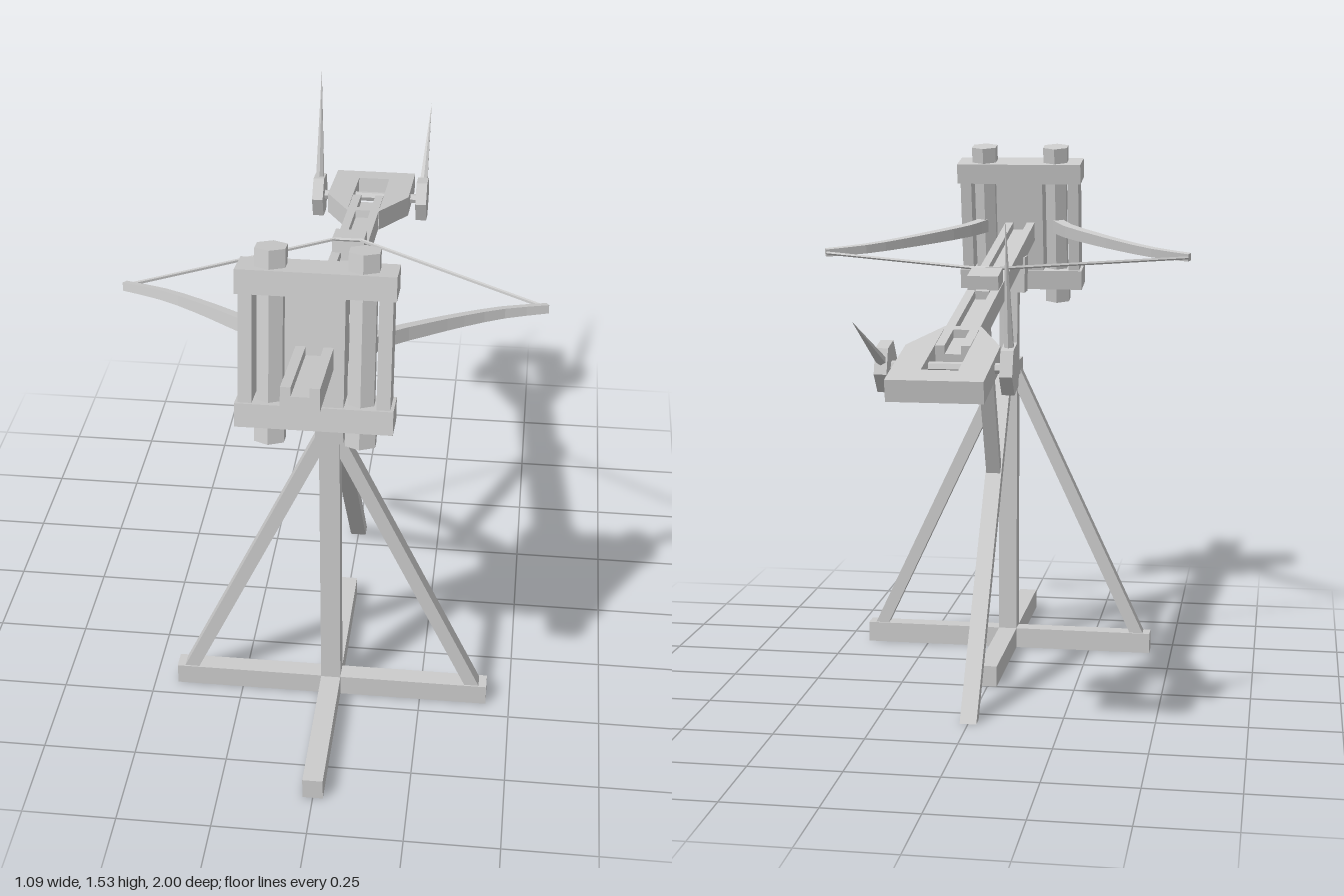
import * as THREE from 'three';

const mat = new THREE.MeshStandardMaterial({ color: 0xcccccc, flatShading: true });
const V = (x, y, z) => new THREE.Vector3(x, y, z);

function add(parent, name, geo, x = 0, y = 0, z = 0) {
  const mesh = new THREE.Mesh(geo, mat);
  mesh.name = name;
  mesh.position.set(x, y, z);
  parent.add(mesh);
  return mesh;
}

// box given by its extents
function block(parent, name, x0, x1, y0, y1, z0, z1) {
  return add(parent, name, new THREE.BoxGeometry(x1 - x0, y1 - y0, z1 - z0),
    (x0 + x1) / 2, (y0 + y1) / 2, (z0 + z1) / 2);
}

// straight part whose long axis runs from a to b
function span(parent, name, a, b, makeGeo) {
  const d = b.clone().sub(a);
  const mesh = add(parent, name, makeGeo(d.length()));
  mesh.position.copy(a).lerp(b, 0.5);
  mesh.quaternion.setFromUnitVectors(V(0, 1, 0), d.normalize());
  return mesh;
}

const polygon = (pts) => new THREE.Shape(pts.map(([x, y]) => new THREE.Vector2(x, y)));
const hole = (pts) => new THREE.Path(pts.map(([x, y]) => new THREE.Vector2(x, y)));
const extrude = (shape, depth) => new THREE.ExtrudeGeometry(shape, { depth, bevelEnabled: false });

// box bent along a curve, tapering towards its end
function bentLimb(curve, width, height, endScale) {
  const geo = new THREE.BoxGeometry(1, 1, 1, 1, 1, 10);
  const pos = geo.attributes.position;
  for (let i = 0; i < pos.count; i++) {
    const t = pos.getZ(i) + 0.5;
    const k = 1 + (endScale - 1) * t;
    const side = V(0, 1, 0).cross(curve.getTangent(t)).normalize();
    const p = curve.getPoint(t).addScaledVector(side, pos.getX(i) * width * k);
    pos.setXYZ(i, p.x, p.y + pos.getY(i) * height * k, p.z);
  }
  geo.computeVertexNormals();
  return geo;
}

function buildStand() {
  const stand = new THREE.Group();
  stand.name = 'stand';
  block(stand, 'crossBeam', -0.435, 0.435, 0, 0.06, 0.402, 0.452);
  block(stand, 'longBeam', -0.027, 0.027, 0, 0.06, 0, 0.87);
  block(stand, 'post', -0.027, 0.027, 0.01, 1.15, 0.402, 0.454);
  block(stand, 'collar', -0.036, 0.036, 0.85, 0.895, 0.335, 0.461);
  block(stand, 'head', -0.05, 0.05, 1.095, 1.2, 0.395, 0.461);
  for (const s of [-1, 1])
    span(stand, 'sideStrut', V(s * 0.403, 0.04, 0.428), V(s * 0.015, 0.865, 0.428),
      (l) => new THREE.BoxGeometry(0.036, l, 0.04));

  // rear leg cut level with the ground
  const leg = extrude(polygon([[0.34, 0], [0.3, 0], [-0.335, 0.85], [-0.37, 0.895], [-0.335, 0.905]].reverse()), 0.046);
  leg.rotateY(Math.PI / 2);
  add(stand, 'rearLeg', leg, -0.023);
  span(stand, 'brace', V(0, 0.61, 0.12), V(0, 1.11, -0.11), (l) => new THREE.BoxGeometry(0.04, l, 0.03));
  return stand;
}

function buildFrame() {
  const frame = new THREE.Group();
  frame.name = 'springFrame';
  const plate = polygon([[-0.182, -0.17], [0.182, -0.17], [0.182, 0.17], [-0.182, 0.17]]);
  for (const s of [-1, 1]) {
    const a = s * 0.11 - 0.039, b = s * 0.11 + 0.039;
    plate.holes.push(hole([[a, -0.14], [a, 0.14], [b, 0.14], [b, -0.14]]));
  }
  add(frame, 'slottedPlate', extrude(plate, 0.084), 0, 0, -0.042);
  for (const s of [-1, 1]) {
    add(frame, 'rail', new THREE.BoxGeometry(0.38, 0.06, 0.1), 0, s * 0.167, 0);
    // hexagonal spring column, capped above and below
    add(frame, 'springColumn', new THREE.CylinderGeometry(0.036, 0.036, 0.4, 6), s * 0.11, 0, 0);
    for (const t of [-1, 1])
      add(frame, 'cap', new THREE.CylinderGeometry(0.042, 0.042, 0.06, 6), s * 0.11, t * 0.213, 0);
  }
  frame.position.set(0, 0.014, 0.705);
  return frame;
}

function buildBow() {
  const bow = new THREE.Group();
  bow.name = 'bow';
  for (const s of [-1, 1]) {
    const curve = new THREE.CatmullRomCurve3(
      [[0.11, 0.69], [0.155, 0.62], [0.25, 0.53], [0.33, 0.462], [0.43, 0.39], [0.54, 0.34]]
        .map(([x, z]) => V(s * x, 0.014, z)));
    add(bow, 'bowArm', bentLimb(curve, 0.032, 0.04, 0.55));
    span(bow, 'bowString', V(s * 0.535, 0.014, 0.335), V(s * 0.035, 0.066, 0.014),
      (l) => new THREE.CylinderGeometry(0.005, 0.005, l, 5));
  }
  span(bow, 'bowString', V(-0.037, 0.066, 0.014), V(0.037, 0.066, 0.014),
    (l) => new THREE.CylinderGeometry(0.005, 0.005, l, 5));
  return bow;
}

function buildWinch() {
  const winch = new THREE.Group();
  winch.name = 'winch';
  const across = (r, l, n) => new THREE.CylinderGeometry(r, r, l, n).rotateZ(Math.PI / 2);
  add(winch, 'axle', across(0.014, 0.31, 6));
  for (const s of [-1, 1]) {
    add(winch, 'hexWheel', across(0.066, 0.032, 6), s * 0.155);
    // one handle stands up, the other leans back
    const tip = s < 0 ? V(-0.155, 0.38, -0.003) : V(0.155, 0.218, -0.328);
    const root = V(s * 0.155, 0, 0).lerp(tip, 0.11);
    span(winch, 'handleSpike', root, tip, (l) => new THREE.ConeGeometry(0.014, l, 6));
  }
  winch.position.set(0, 0, -0.648);
  return winch;
}

export function createModel() {
  const model = new THREE.Group();
  model.name = 'boltThrower';
  model.add(buildStand());

  // everything above the stand shares the tilt of the stock
  const upper = new THREE.Group();
  upper.name = 'tiltedUpperPart';
  upper.position.y = 1.136;
  upper.rotation.x = -0.1856;
  model.add(upper);

  // grooved stock
  const w = 0.045, h = 0.028, g = 0.021;
  const section = polygon([[-w, -h], [w, -h], [w, h], [g, h], [g, h - 0.022], [-g, h - 0.022], [-g, h], [-w, h]]);
  add(upper, 'groovedStock', extrude(section, 1.575), 0, 0, -0.563);

  // flared butt with an open window
  const butt = polygon([[-0.047, 0.4], [-0.12, 0.56], [-0.12, 0.83], [0.12, 0.83], [0.12, 0.56], [0.047, 0.4]].reverse());
  butt.holes.push(hole([[-0.046, 0.43], [0.046, 0.43], [0.046, 0.75], [-0.046, 0.75]]));
  add(upper, 'flaredButt', extrude(butt, 0.056).rotateX(-Math.PI / 2), 0, -0.028, 0);

  // sliding latch with a narrow tongue in the groove
  block(upper, 'latch', -0.043, 0.043, 0.026, 0.068, -0.075, 0.012);
  block(upper, 'latchTongue', -0.019, 0.019, 0.004, 0.03, -0.09, 0.012);

  upper.add(buildFrame(), buildBow(), buildWinch());
  return model;
}
